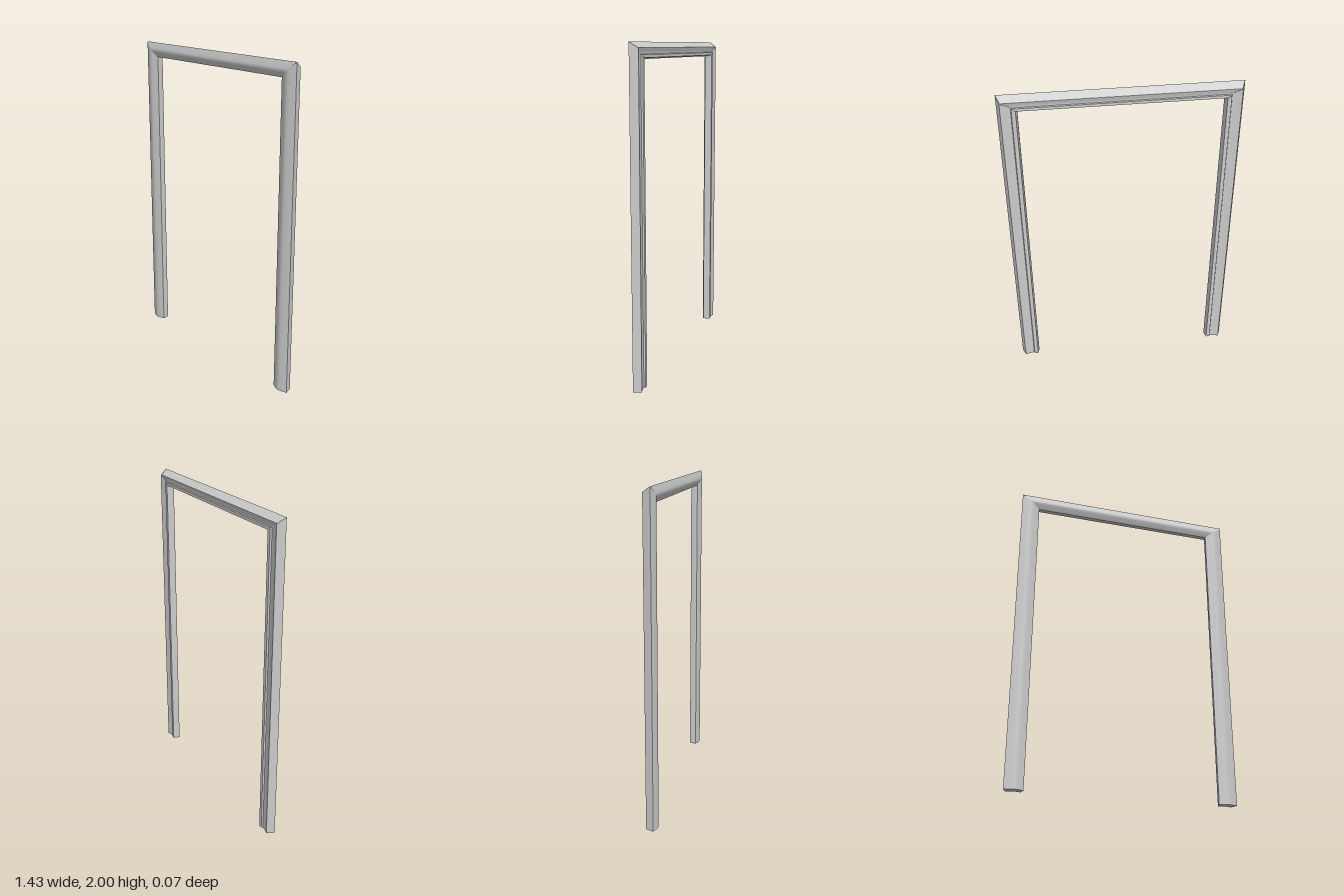
import * as THREE from 'three';
import { toCreasedNormals } from 'three/addons/utils/BufferGeometryUtils.js';

// Moulding profiles, matched point for point: outer edge, back, inner edge, front.
// Jamb points are [x, z]; header points are [y, z].
const JAMB = [
  [0.713, 0.012], [0.693, -0.036], [0.675, -0.031], [0.645, -0.024], [0.634, -0.024],
  [0.63, -0.034], [0.607, -0.034], [0.597, 0.004], [0.597, 0.01],
  [0.635, 0.026], [0.65, 0.03], [0.662, 0.029], [0.68, 0.024],
];
const HEADER = [
  [2, 0.014], [1.968, -0.031], [1.958, -0.029], [1.943, -0.023], [1.934, -0.023],
  [1.931, -0.031], [1.914, -0.031], [1.906, 0.004], [1.906, 0.01],
  [1.936, 0.026], [1.948, 0.03], [1.958, 0.029], [1.973, 0.024],
];

// Solid bar between two matching rings; flip reverses the winding for a mirrored bar
function bar(name, profile, ringA, ringB, material, flip = false) {
  const positions = [];
  const tri = (a, b, c) => (flip ? [a, c, b] : [a, b, c]).forEach((p) => positions.push(...p));
  const n = profile.length;
  for (let i = 0; i < n; i++) {
    const j = (i + 1) % n;
    tri(ringA[i], ringA[j], ringB[j]);
    tri(ringA[i], ringB[j], ringB[i]);
  }
  // End caps
  const outline = profile.map(([w, z]) => new THREE.Vector2(profile[0][0] - w, z));
  for (const face of THREE.ShapeUtils.triangulateShape(outline, [])) {
    let [a, b, c] = face;
    if (THREE.ShapeUtils.area([outline[a], outline[b], outline[c]]) < 0) [b, c] = [c, b];
    tri(ringB[a], ringB[b], ringB[c]);
    tri(ringA[a], ringA[c], ringA[b]);
  }
  const geometry = new THREE.BufferGeometry();
  geometry.setAttribute('position', new THREE.Float32BufferAttribute(positions, 3));
  const mesh = new THREE.Mesh(toCreasedNormals(geometry, 0.5), material);
  mesh.name = name;
  return mesh;
}

export function createModel() {
  const group = new THREE.Group();
  group.name = 'doorFrame';
  const material = new THREE.MeshStandardMaterial({ color: 0xcccccc });

  // Upright jambs with mitred tops
  for (const side of [1, -1]) {
    const foot = JAMB.map(([x, z]) => [side * x, 0, z]);
    const top = JAMB.map(([x, z], i) => [side * x, HEADER[i][0], z]);
    group.add(bar(side > 0 ? 'leftJamb' : 'rightJamb', JAMB, foot, top, material, side < 0));
  }

  // Header with mitred ends
  const end = (side) => HEADER.map(([y, z], i) => [side * JAMB[i][0], y, z]);
  group.add(bar('header', HEADER, end(1), end(-1), material));
  return group;
}
